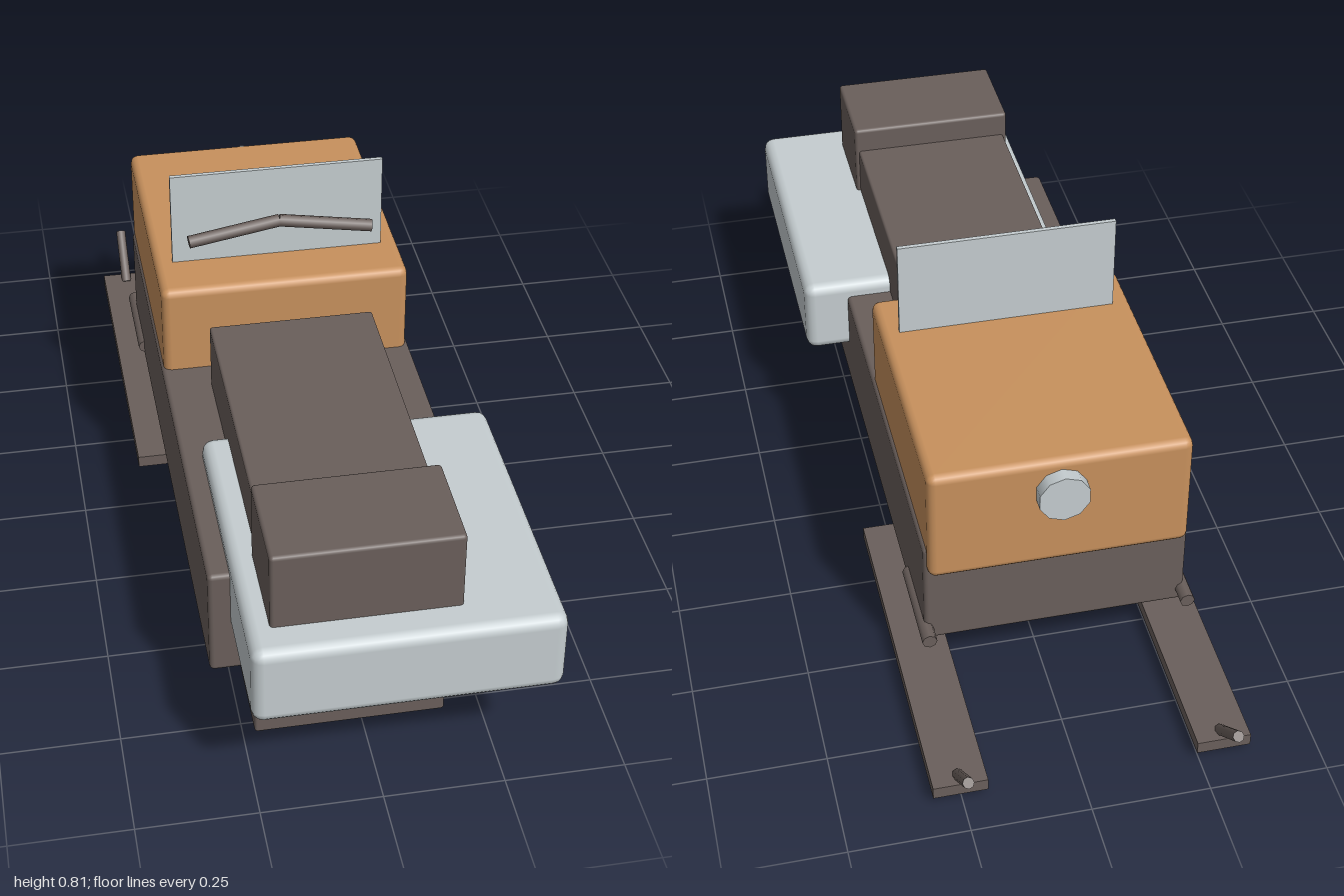
import * as THREE from 'three';
import { RoundedBoxGeometry } from 'three/addons/geometries/RoundedBoxGeometry.js';

const AXIS_X = -0.025; // centre line of the sled; the rear cowl is offset from it

export function createModel() {
  const model = new THREE.Group();
  model.name = 'snowSled';

  const material = (name, color) => {
    const m = new THREE.MeshStandardMaterial({ color });
    m.name = name;
    return m;
  };
  const dark = material('dark brown grey', 0x6a5f5b);
  const tan = material('orange tan', 0xc8915d);
  const silver = material('pale silver', 0xc5cdd0);

  const add = (name, geometry, mat) => {
    const mesh = new THREE.Mesh(geometry, mat);
    mesh.name = name;
    model.add(mesh);
    return mesh;
  };

  // Box given by its extents on each axis, with an optional edge radius
  const block = (name, mat, [x0, x1], [y0, y1], [z0, z1], r = 0) => {
    const size = [x1 - x0, y1 - y0, z1 - z0];
    const geometry = r ? new RoundedBoxGeometry(...size, 2, r) : new THREE.BoxGeometry(...size);
    return add(name, geometry.translate((x0 + x1) / 2, (y0 + y1) / 2, (z0 + z1) / 2), mat);
  };

  // Straight rod between two points
  const rod = (name, mat, from, to, r, sides = 8) => {
    const a = new THREE.Vector3(...from);
    const d = new THREE.Vector3(...to).sub(a);
    const mesh = add(name, new THREE.CylinderGeometry(r, r, d.length(), sides), mat);
    mesh.position.copy(a).addScaledVector(d, 0.5);
    mesh.quaternion.setFromUnitVectors(new THREE.Vector3(0, 1, 0), d.normalize());
    return mesh;
  };

  // Hull
  block('track', dark, [-0.225, 0.175], [0, 0.205], [-0.13, 0.78], 0.006);
  block('body', dark, [-0.307, 0.258], [0.132, 0.384], [-0.585, 0.722], 0.01);
  block('hood', tan, [-0.302, 0.251], [0.322, 0.592], [-0.607, 0.01], 0.018);
  block('rearCowl', silver, [-0.262, 0.358], [0.24, 0.42], [0.312, 1.0], 0.024);

  // Seat
  block('seat', dark, [-0.206, 0.156], [0.36, 0.533], [0.07, 0.88], 0.006);
  block('backrest', dark, [-0.215, 0.165], [0.4, 0.592], [0.7, 0.926], 0.008);

  // Windshield and headlight
  block('windshield', silver, [-0.262, 0.212], [0.57, 0.81], [-0.12, -0.11]);
  rod('headlight', silver, [AXIS_X, 0.515, -0.59], [AXIS_X, 0.515, -0.637], 0.055, 10);

  // Paired parts: handlebar halves, side pegs, skis and their upturned tips
  for (const [side, s] of [['right', -1], ['left', 1]]) {
    const x = (offset) => AXIS_X + s * offset;
    rod(side + 'Handlebar', dark, [AXIS_X, 0.696, -0.079], [x(0.205), 0.672, -0.061], 0.014);
    rod(side + 'Peg', dark, [x(0.28), 0.163, -0.405], [x(0.28), 0.163, -0.625], 0.016);
    block(side + 'Ski', dark, [x(0.278) - 0.057, x(0.278) + 0.057], [0.017, 0.045], [-0.917, -0.12]);
    rod(side + 'SkiTip', dark, [x(0.278), 0.04, -0.885], [x(0.278), 0.132, -0.991], 0.012);
  }

  return model;
}
